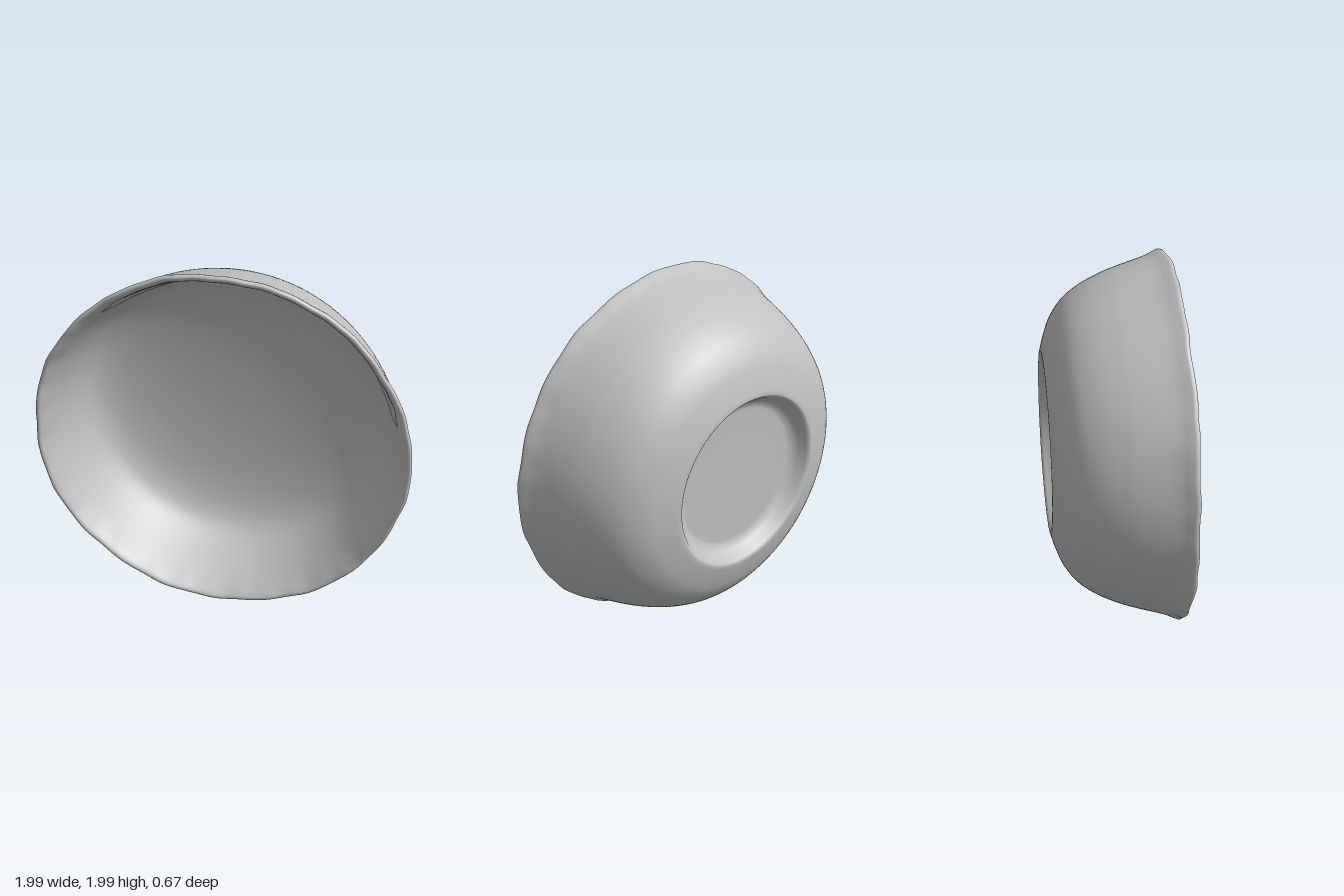
import * as THREE from 'three';
import { mergeVertices } from 'three/addons/utils/BufferGeometryUtils.js';

const SEGMENTS = 144;

// smooth curve through [radius, depth] pairs
function smooth(pairs, n) {
  return new THREE.SplineCurve(pairs.map(([r, d]) => new THREE.Vector2(r, d))).getPoints(n);
}

// irregular hand-made waviness, periodic around the rim
function wobble(a, seed) {
  return 0.45 * Math.sin(7 * a + seed) + 0.3 * Math.sin(13 * a + 2.3 * seed)
    + 0.3 * Math.sin(22 * a + 4.1 * seed) + 0.2 * Math.sin(37 * a + 1.7 * seed);
}

export function createModel() {
  const model = new THREE.Group();
  model.name = 'bowl';
  const clay = new THREE.MeshStandardMaterial({ color: 0xc0c0c0 });
  clay.name = 'pale grey clay';

  // recessed underside, from the centre out to the sharp foot edge
  const underside = smooth([[0, -0.25], [0.2, -0.25], [0.36, -0.251], [0.4, -0.256],
    [0.43, -0.275], [0.452, -0.305], [0.468, -0.33], [0.483, -0.34]], 28);
  // outer wall, thin flared lip, inner wall and gently dished floor
  const wall = smooth([[0.497, -0.339], [0.58, -0.314], [0.67, -0.277], [0.76, -0.21], [0.83, -0.115],
    [0.885, 0], [0.92, 0.1], [0.947, 0.19], [0.966, 0.245], [0.985, 0.285], [0.994, 0.308],
    [0.988, 0.324], [0.972, 0.323], [0.955, 0.3], [0.937, 0.26], [0.908, 0.18], [0.868, 0.07],
    [0.82, -0.03], [0.76, -0.098], [0.66, -0.148], [0.5, -0.185], [0.3, -0.206], [0.12, -0.214],
    [0, -0.215]], 100);
  const profile = [...underside, ...wall];
  profile[0].x = profile[profile.length - 1].x = 0;

  const geometry = new THREE.LatheGeometry(profile, SEGMENTS);
  geometry.rotateX(Math.PI / 2);

  // make the lip uneven, fading out down the wall
  const p = geometry.attributes.position;
  for (let i = 0; i < p.count; i++) {
    const x = p.getX(i), y = p.getY(i), z = p.getZ(i);
    const a = Math.atan2(y, x);
    const lip = THREE.MathUtils.smoothstep(z, 0.16, 0.31);
    const s = 1 + 0.006 * lip * wobble(a, 1.3);
    p.setXYZ(i, x * s, y * s, z + 0.007 * lip * wobble(a, 2.9));
  }

  // weld the seam so shading stays smooth all round
  geometry.deleteAttribute('uv');
  geometry.deleteAttribute('normal');
  const welded = mergeVertices(geometry, 1e-5);
  welded.computeVertexNormals();

  const shell = new THREE.Mesh(welded, clay);
  shell.name = 'bowlShell';
  shell.position.y = 0.998;
  model.add(shell);
  return model;
}
